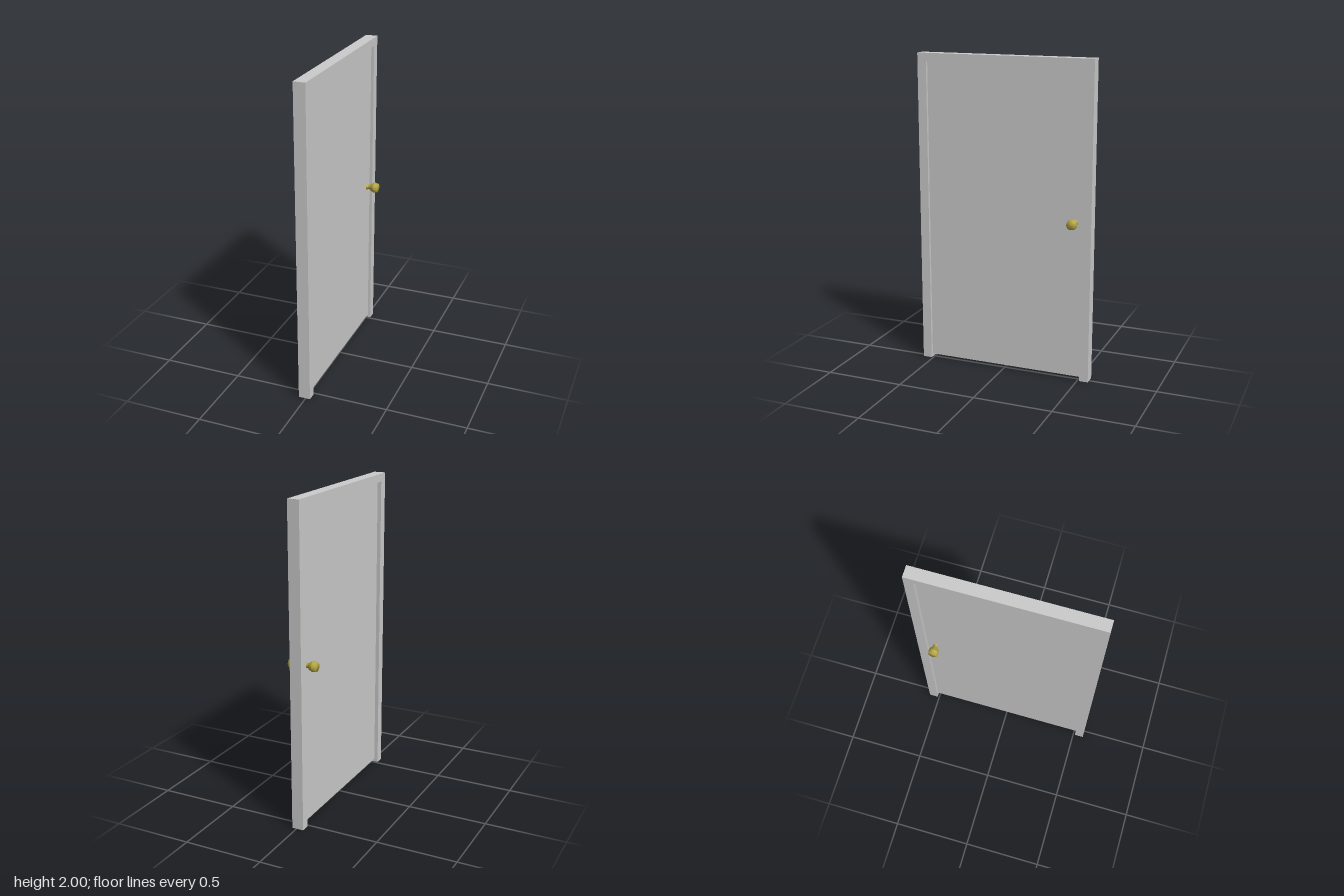
import * as THREE from 'three';

export function createModel() {
  const group = new THREE.Group();
  const grey = new THREE.MeshStandardMaterial({ color: 0xcccccc });
  const brass = new THREE.MeshStandardMaterial({ color: 0xb5a642 });

  // Surround: two posts and a head in one outline, pushed through the wall depth
  const back = -0.045, depth = 0.074;
  const outline = new THREE.Shape([
    [-0.57, 0], [-0.512, 0], [-0.512, 1.95], [0.512, 1.95],
    [0.512, 0], [0.57, 0], [0.57, 2], [-0.57, 2],
  ].map(([x, y]) => new THREE.Vector2(x, y)));
  const frameGeometry = new THREE.ExtrudeGeometry(outline, { depth, bevelEnabled: false });
  frameGeometry.rotateY(Math.PI / 2).translate(back, 0, 0);
  const frame = new THREE.Mesh(frameGeometry, grey);
  frame.name = 'doorFrame';
  group.add(frame);

  // Door leaf, recessed on both sides and clear of the floor
  const leaf = new THREE.Mesh(new THREE.BoxGeometry(0.031, 1.93, 1.024), grey);
  leaf.name = 'doorLeaf';
  leaf.position.set(-0.005, 0.985, 0);
  group.add(leaf);

  // Knobs: one turned profile (radius, distance from the centre), used on each side
  const profile = [
    [0.021, 0.005], [0.021, 0.014], [0.015, 0.022], [0.015, 0.034],
    [0.025, 0.046], [0.033, 0.064], [0.033, 0.068], [0.028, 0.09], [0, 0.091],
  ].map(([r, d]) => new THREE.Vector2(r, d));
  const knobGeometry = new THREE.LatheGeometry(profile, 16);
  for (const side of [1, -1]) {
    const knob = new THREE.Mesh(knobGeometry, brass);
    knob.name = side > 0 ? 'leftKnob' : 'rightKnob';
    knob.rotation.z = -side * Math.PI / 2;
    knob.position.set(-0.001, 1.015, -0.46);
    group.add(knob);
  }

  return group;
}
